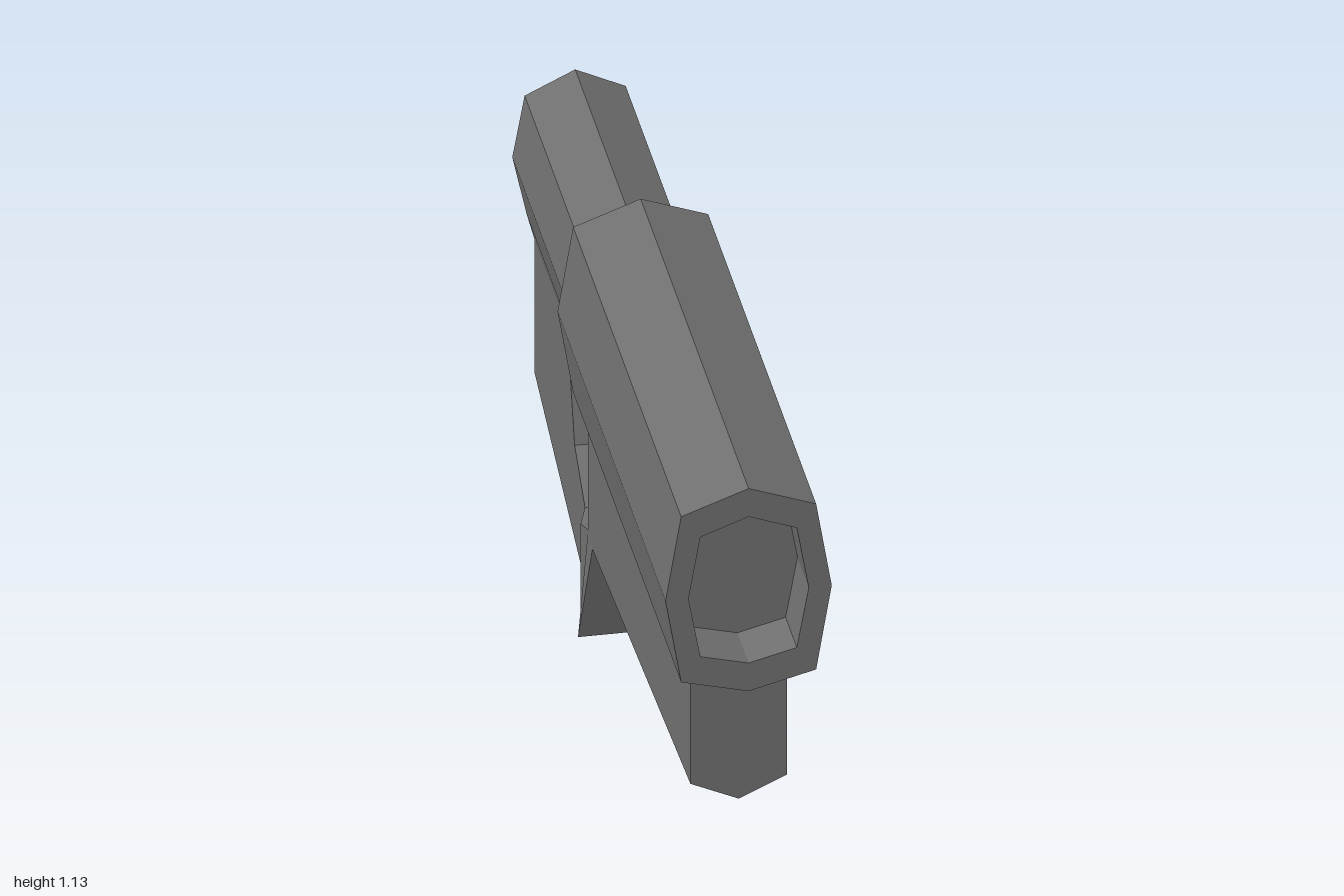
import * as THREE from 'three';

const material = new THREE.MeshStandardMaterial({ color: 0x707070, flatShading: true });

// Mirror a half outline (top centre, down the +x side, bottom centre) into a full ring at depth z;
// a point may carry a small depth offset of its own
function ring(z, half) {
  const right = half.map(([x, y, dz = 0]) => new THREE.Vector3(x, y, z + dz));
  const left = half.slice(1, -1).reverse().map(([x, y, dz = 0]) => new THREE.Vector3(-x, y, z + dz));
  return [...right, ...left];
}

// Skin a list of rings and close both ends; collapsed triangles are skipped
function loft(name, rings) {
  const positions = [];
  const tri = (a, b, c) => {
    const area = b.clone().sub(a).cross(c.clone().sub(a)).length();
    if (area > 1e-7) for (const p of [a, b, c]) positions.push(p.x, p.y, p.z);
  };
  const n = rings[0].length;
  const first = rings[0], last = rings[rings.length - 1];
  const middle = (r) => r[0].clone().add(r[n / 2]).multiplyScalar(0.5);
  const start = middle(first), end = middle(last);
  for (let j = 0; j < n; j++) {
    const k = (j + 1) % n;
    for (let i = 0; i < rings.length - 1; i++) {
      const a = rings[i], b = rings[i + 1];
      // Flip the diagonal on the -x side so both halves match
      if (j < n / 2) {
        tri(a[j], a[k], b[k]);
        tri(a[j], b[k], b[j]);
      } else {
        tri(a[j], a[k], b[j]);
        tri(a[k], b[k], b[j]);
      }
    }
    tri(start, first[k], first[j]);
    tri(end, last[j], last[k]);
  }
  const geometry = new THREE.BufferGeometry();
  geometry.setAttribute('position', new THREE.Float32BufferAttribute(positions, 3));
  geometry.computeVertexNormals();
  const mesh = new THREE.Mesh(geometry, material);
  mesh.name = name;
  return mesh;
}

// Upper body: muzzle recess, faceted wide front, step down to the narrow rear
function createUpperBody() {
  const bore = [[0, 1.058], [0.105, 1.019], [0.131, 0.868], [0.105, 0.722], [0.105, 0.722], [0, 0.695]];
  const wide = [[0, 1.128], [0.147, 1.074], [0.181, 0.868], [0.147, 0.663]];
  const narrow = [[0, 1.013], [0.11, 0.96], [0.137, 0.81], [0.105, 0.663], [0.089, 0.603], [0, 0.603]];
  return loft('upperBody', [
    ring(0.87, bore),
    ring(1, bore),
    ring(1, [...wide, [0.147, 0.663], [0, 0.625]]),
    ring(0.885, [...wide, [0.105, 0.603], [0, 0.563]]),
    ring(-0.245, [...wide, [0.105, 0.603], [0, 0.603]]),
    ring(-0.415, narrow),
    ring(-1, narrow),
  ]);
}

// Lower body: keel with a V underside, flared tooth below the opening, narrower rear grip
function createLowerBody() {
  // z, top y, top x, middle y, bottom x, bottom y, bottom centre y, bottom centre depth offset
  const sections = [
    [0.885, 0.603, 0.105, 0.34, 0.105, 0.34, 0.292],
    [-0.245, 0.603, 0.105, 0.27, 0.105, 0.27, 0.222, -0.01],
    [-0.295, 0.603, 0.105, 0.288, 0.127, 0.025, 0.025],
    [-0.295, 0.288, 0.105, 0.288, 0.127, 0.025, 0.025],
    [-0.35, 0.273, 0.111, 0.273, 0.111, 0, 0],
    [-0.415, 0.273, 0.089, 0.273, 0.089, 0.088, 0.088],
    [-0.535, 0.358, 0.089, 0.358, 0.089, 0.126, 0.126],
    [-0.62, 0.603, 0.089, 0.603, 0.089, 0.153, 0.153],
    [-1, 0.603, 0.089, 0.603, 0.089, 0.273, 0.273],
  ];
  return loft('lowerBodyAndGrip', sections.map(([z, top, x, mid, xLow, low, keel, dz]) =>
    ring(z, [[0, top], [x, top], [x, mid], [xLow, low], [0, keel, dz]])));
}

export function createModel() {
  const model = new THREE.Group();
  model.name = 'blaster';
  model.add(createUpperBody(), createLowerBody());
  return model;
}
